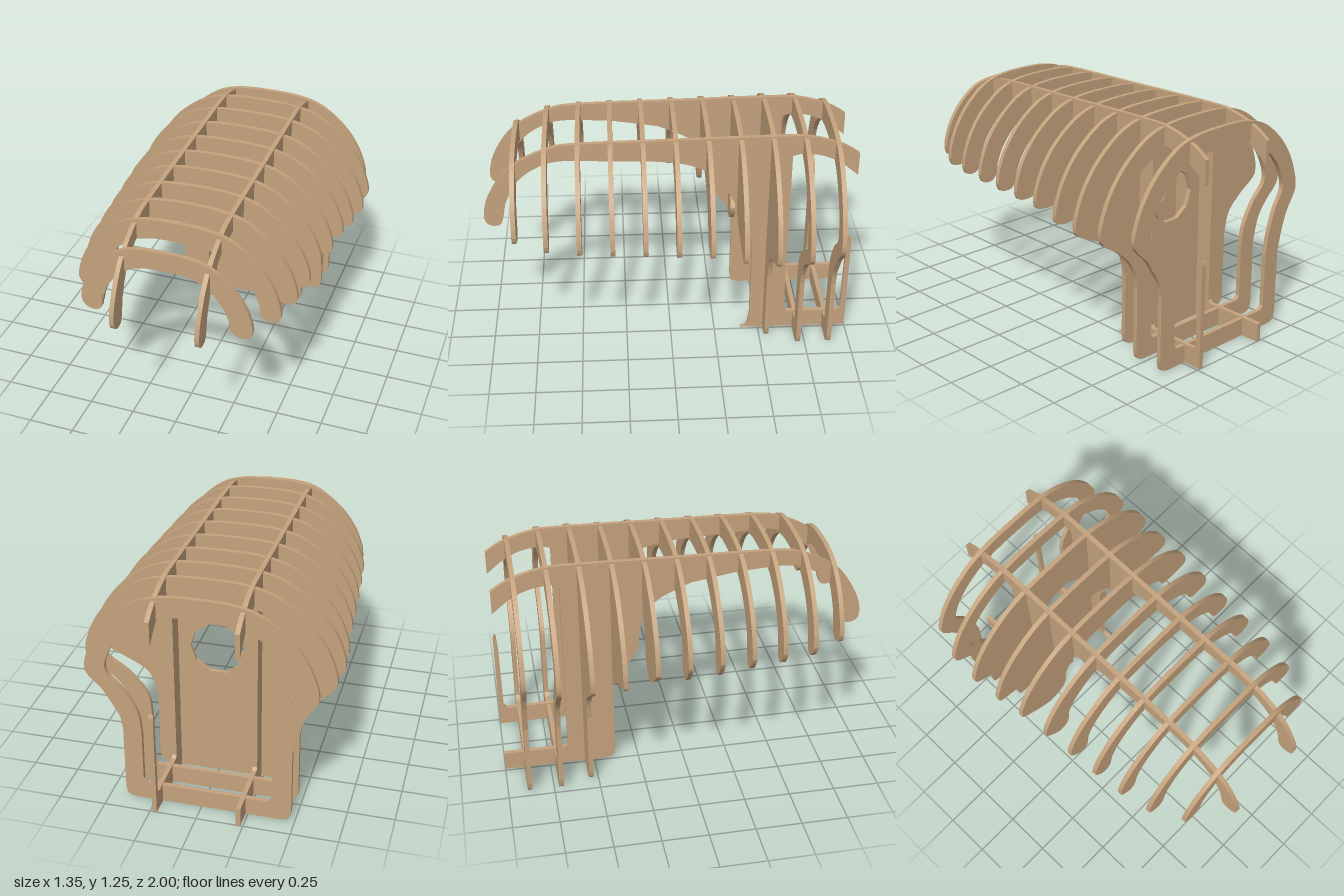
import * as THREE from 'three';

const T = 0.025; // sheet thickness
const wood = new THREE.MeshStandardMaterial({ color: 0xc4a27d });
wood.name = 'plywood tan';

// Traces runs of points: smooth inside a run, straight between runs
function trace(path, runs) {
  runs.forEach((run, i) => {
    if (i === 0) path.moveTo(...run[0]);
    else path.lineTo(...run[0]);
    if (run.length > 1) path.splineThru(run.slice(1).map(p => new THREE.Vector2(...p)));
  });
  path.closePath();
  return path;
}

function plate(name, runs, holes = []) {
  const shape = trace(new THREE.Shape(), runs);
  shape.holes.push(...holes);
  const g = new THREE.ExtrudeGeometry(shape, { depth: T, bevelEnabled: false, curveSegments: 5 });
  g.translate(0, 0, -T / 2);
  const mesh = new THREE.Mesh(g, wood);
  mesh.name = name;
  return mesh;
}

// Upper dome from right (+x) to left, base at y = 0.76
const DOME = [[1, 0], [0.98, 0.16], [0.9, 0.41], [0.75, 0.67], [0.53, 0.89], [0.3, 0.98], [0, 1]];
function dome(wr, wl, top, base = 0.76) {
  const at = (s, w) => ([u, v]) => [s * w * u, base + (top - base) * v];
  return [...DOME.map(at(1, wr)), ...DOME.slice(0, -1).reverse().map(at(-1, wl))];
}

// Open arch rib with separate left and right foot widths
function archRib(w, top, inner, fr, fl, low) {
  return [
    [[w - fr, 0.79], [w - fr + 0.025, 0.76], [w - fr * 0.5, 0.75], [w - 0.015, 0.76], [w, 0.8]],
    dome(w, w, top, 0.8),
    [[-w, 0.79], [-w + 0.02, 0.75], [-w + fl * 0.55, low], [-w + fl * 0.88, low + 0.02], [-w + fl, low + 0.1]],
    dome(w - fr, w - fl, inner, 0.8).reverse(),
  ];
}

// Full rib: dome, neck and straight legs down to the ground
function bodyRib(w, top, legR, legL) {
  return [
    [[legR - 0.05, 0], [legR - 0.012, 0.015], [legR, 0.06]],
    [[legR, 0.42], [legR + 0.015, 0.5], [legR + 0.06, 0.58],
      [legR + (w - legR) * 0.55, 0.65], [w - 0.025, 0.71], ...dome(w, w, top),
      [-w + 0.02, 0.71], [-legL - (w - legL) * 0.5, 0.64], [-legL - 0.03, 0.55], [-legL, 0.42]],
    [[-legL, 0.06], [-legL + 0.012, 0.015], [-legL + 0.05, 0]],
  ];
}

// Opening inside a full rib, leaving a band of even width
function bodyOpening(w, top, legR, legL) {
  const b = 0.1, r = legR - b, l = legL - b, v = w - b - 0.01;
  return trace(new THREE.Path(), [
    [[r - 0.02, 0.1], [r, 0.12]],
    [[r, 0.42], [r + 0.02, 0.54], [r + (v - r) * 0.5, 0.66], [v - 0.02, 0.73],
      ...dome(v, v, top - 0.11, 0.78), [-v + 0.02, 0.73], [-l - (v - l) * 0.5, 0.66], [-l - 0.02, 0.54], [-l, 0.42]],
    [[-l, 0.12], [-l + 0.02, 0.1]],
  ]);
}

// Lengthwise spine drawn as (z, y)
function spine(name, x, backEnd, frontLeg) {
  const mesh = plate(name, [
    [[0.9, 0.78], [0.92, 0.745], [0.97, 0.745], [1, 0.79], [0.98, 0.9], [0.9, 1.04], [0.8, 1.13],
      [0.65, 1.2], [0.5, 1.225], [0, 1.235], [-0.6, 1.245], [-0.75, 1.235], [-0.9, 1.19], [-1, 1.13]],
    [[-1, 1], [-0.9, 1.08], [-0.8, 1.125], [-0.7, 1.138], [-0.645, 1.125]],
    [[-0.645, 0.12], [-0.66, 0.105]],
    ...backEnd,
    ...frontLeg,
    [[0.3, 1.12], [0.58, 1.13], [0.72, 1.085], [0.82, 1.0], [0.88, 0.88]],
  ]);
  mesh.rotation.y = -Math.PI / 2;
  mesh.position.x = x;
  return mesh;
}

export function createModel() {
  const model = new THREE.Group();
  model.name = 'slotted rib shelter';
  const add = (mesh, z) => { mesh.position.z = z; model.add(mesh); };

  // Arch ribs, front to back: z, half width, top, inner top, foot widths, left foot height
  [
    [0.83, 0.46, 1.165, 1.06, 0.12, 0.12, 0.735],
    [0.66, 0.553, 1.232, 1.125, 0.11, 0.115, 0.715],
    [0.487, 0.587, 1.243, 1.132, 0.11, 0.115, 0.71],
    [0.316, 0.604, 1.244, 1.13, 0.11, 0.12, 0.7],
    [0.145, 0.618, 1.245, 1.12, 0.12, 0.13, 0.685],
    [-0.027, 0.632, 1.245, 1.085, 0.14, 0.17, 0.67],
    [-0.199, 0.645, 1.245, 1.0, 0.2, 0.33, 0.635],
  ].forEach(([z, ...p], i) => add(plate(`archRib${i + 1}`, archRib(...p)), z));

  // Transition rib with a deep left lobe
  add(plate('transitionRib', [
    [[0.3, 0.765], [0.4, 0.745], [0.58, 0.72], [0.64, 0.73], ...dome(0.66, 0.66, 1.247),
      [-0.64, 0.71], [-0.5, 0.66], [-0.4, 0.6], [-0.3, 0.53], [-0.18, 0.502], [-0.1, 0.54], [-0.06, 0.62],
      [-0.12, 0.68], [-0.147, 0.765], [-0.12, 0.85], [-0.05, 0.92], [0.08, 0.955], [0.16, 0.91], [0.22, 0.82]],
  ]), -0.37);

  // Solid bulkhead with a round hole
  const round = new THREE.Path();
  round.absarc(0, 0.765, 0.147, 0, Math.PI * 2, true);
  add(plate('bulkhead', bodyRib(0.675, 1.25, 0.335, 0.43), [round]), -0.54);

  // Open rear frames
  [[-0.71, 0.665, 1.25], [-0.882, 0.606, 1.225]].forEach(([z, w, top], i) =>
    add(plate(`rearFrame${i + 1}`, bodyRib(w, top, 0.415, 0.48), [bodyOpening(w, top, 0.415, 0.48)]), z));

  // Two spines, each with its own leg and back end
  model.add(
    spine('leftSpine', 0.225,
      [[[-0.955, 0.105], [-0.97, 0.12]], [[-0.975, 0.5], [-0.982, 0.58], [-0.992, 0.6], [-1, 0.58]], [[-1, 0]]],
      [[[-0.4, 0], [-0.437, 0.02], [-0.45, 0.1]],
        [[-0.45, 0.52], [-0.44, 0.62], [-0.4, 0.73], [-0.33, 0.87], [-0.25, 1.0], [-0.1, 1.085], [0.1, 1.115]]]),
    spine('rightSpine', -0.225,
      [[[-1, 0.105]], [[-1, 0]]],
      [[[-0.43, 0], [-0.39, 0.015], [-0.38, 0.06]],
        [[-0.38, 0.51], [-0.3, 0.61], [-0.24, 0.7], [-0.23, 0.8], [-0.2, 0.9], [-0.12, 1.0], [0.05, 1.08]]]),
  );
  return model;
}
